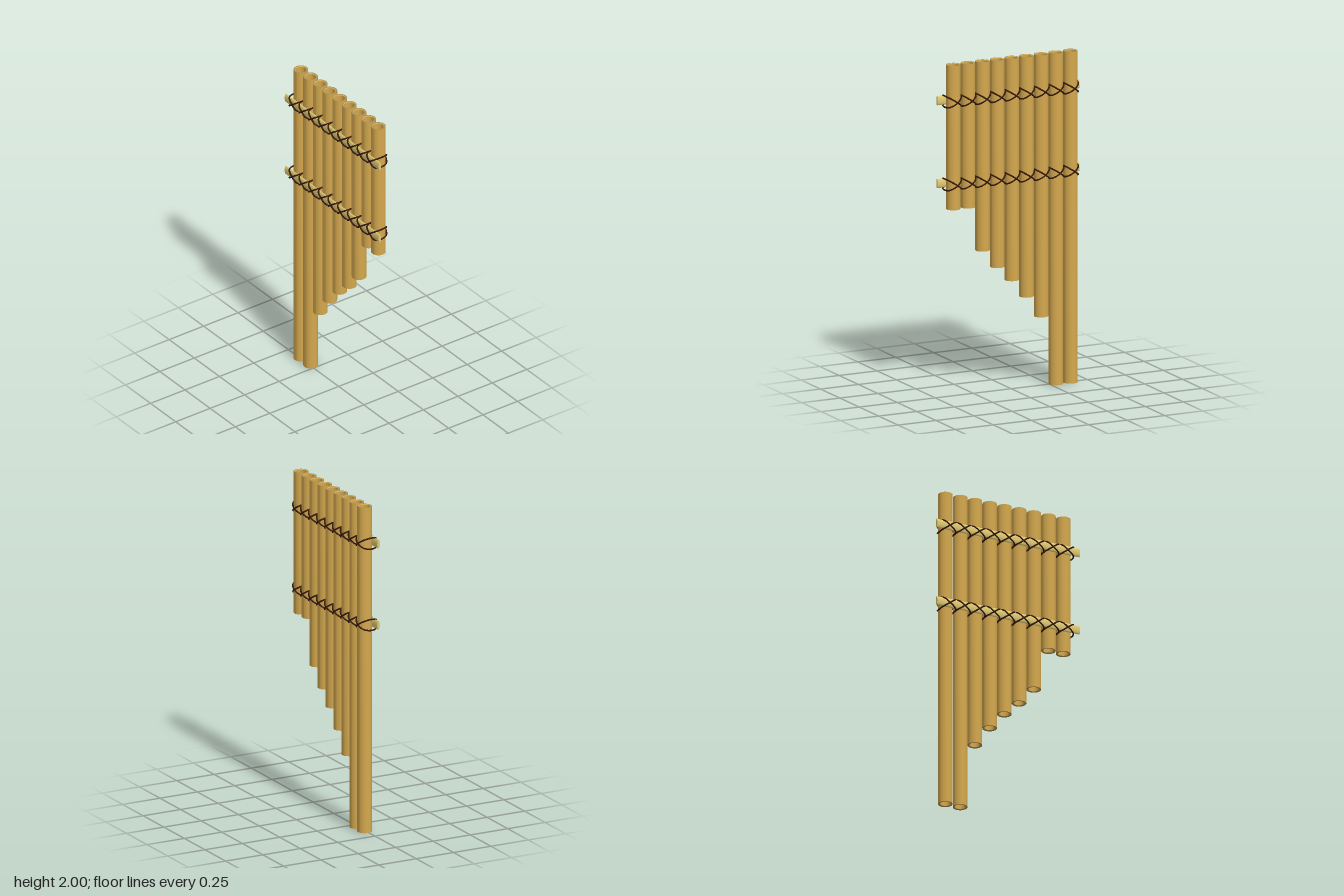
import * as THREE from 'three';
import { toCreasedNormals } from 'three/addons/utils/BufferGeometryUtils.js';

const mat = (name, color) => {
  const m = new THREE.MeshStandardMaterial({ color });
  m.name = name;
  return m;
};

const lathe = pts => toCreasedNormals(
  new THREE.LatheGeometry(pts.map(p => new THREE.Vector2(...p)), 32), 0.6);

export function createModel() {
  const bamboo = mat('bamboo', 0xd4a84e);
  const cutBamboo = mat('cutBamboo', 0xa68f56);
  const paleCane = mat('paleCane', 0xe2cc74);
  const darkCord = mat('darkCord', 0x36190b);
  const root = new THREE.Group();
  root.name = 'panFlute';

  const add = (parent, name, geo, material, x, y, z) => {
    const m = new THREE.Mesh(geo, material);
    m.name = name;
    m.position.set(x, y, z);
    parent.add(m);
  };

  // hollow pipes with level tops, stepped bottoms and darker cut rims
  const R = 0.043, rimR = 0.036, r = 0.031, spacing = 0.0963, pipeZ = -0.007;
  const bottoms = [0, 0, 0.42, 0.55, 0.66, 0.75, 0.86, 1.13, 1.13];
  const pipeX = i => (i - 4) * spacing;
  bottoms.forEach((bottom, i) => {
    const h = 2 - bottom;
    const pipe = new THREE.Group();
    pipe.name = 'pipe' + (i + 1);
    pipe.position.set(pipeX(i), bottom, pipeZ);
    root.add(pipe);
    add(pipe, 'outerWall', lathe([[R, 0], [R, h]]), bamboo, 0, 0, 0);
    add(pipe, 'bore', lathe([[rimR, h], [r, h - 0.003], [r, 0.003], [rimR, 0]]), bamboo, 0, 0, 0);
    add(pipe, 'topRim', lathe([[R, h], [rimR, h]]), cutBamboo, 0, 0, 0);
    add(pipe, 'bottomRim', lathe([[rimR, 0], [R, 0]]), cutBamboo, 0, 0, 0);
  });

  // tilted loop of cord around one pipe and the crossbar
  const loop = s => {
    const pts = [
      [-0.047, -0.033, 0], [-0.044, -0.031, 0.040], [-0.028, -0.021, 0.055],
      [0, 0, 0.057], [0.028, 0.021, 0.055], [0.044, 0.031, 0.040],
      [0.047, 0.033, 0], [0.036, 0.027, -0.038], [0, 0.004, -0.056], [-0.036, -0.022, -0.038],
    ].map(([x, y, z]) => new THREE.Vector3(x, y * s, z));
    return new THREE.TubeGeometry(new THREE.CatmullRomCurve3(pts, true), 48, 0.0048, 6, true);
  };
  const loops = [loop(1), loop(-1)];

  // flattened cane crossbar
  const cane = new THREE.CylinderGeometry(1, 1, 0.934, 24)
    .rotateZ(Math.PI / 2)
    .scale(1, 0.028, 0.009);

  // two crossbars, each lashed to every pipe
  [['lower', 1.28], ['upper', 1.78]].forEach(([label, y]) => {
    const group = new THREE.Group();
    group.name = label + 'Binding';
    root.add(group);
    add(group, 'crossbar', cane, paleCane, 0, y, 0.042);
    bottoms.forEach((_, i) => loops.forEach((geo, k) =>
      add(group, 'cordLoop' + (i + 1) + 'ab'[k], geo, darkCord, pipeX(i), y - 0.002, 0)));
  });

  return root;
}
